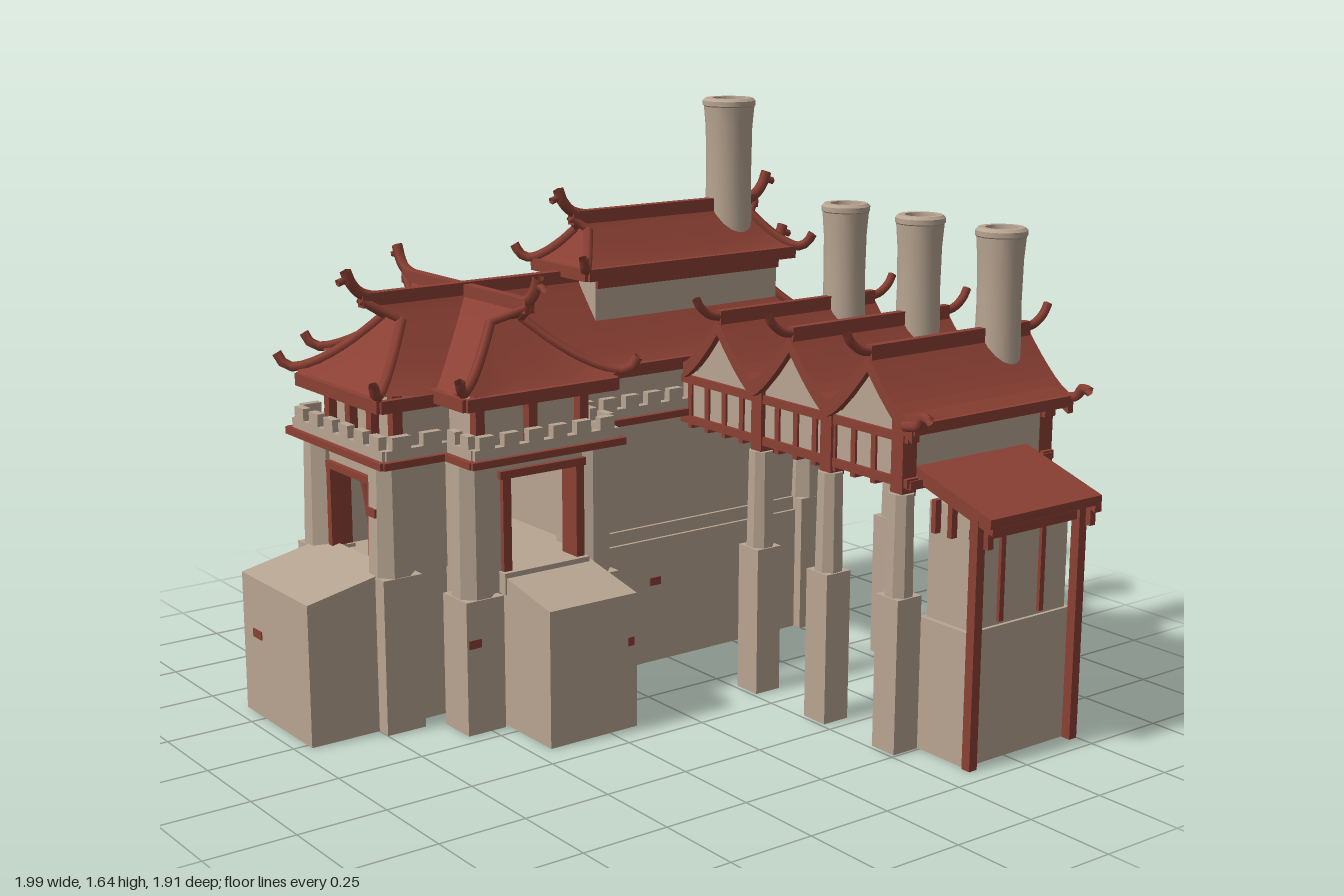
import * as THREE from 'three';
import { toCreasedNormals, mergeVertices } from 'three/addons/utils/BufferGeometryUtils.js';

const stone = new THREE.MeshStandardMaterial({ color: 0xb8a592, side: THREE.DoubleSide });
const red = new THREE.MeshStandardMaterial({ color: 0x8b4034, side: THREE.DoubleSide });
stone.name = 'stone';
red.name = 'red timber and tile';

const CX = -0.45; // axis of the hall and the roofs
const GX = -0.425; // axis of the gatehouse masonry

export function createModel() {
  const model = new THREE.Group();
  model.name = 'fortifiedHall';
  const V = (x, y, z) => new THREE.Vector3(x, y, z);
  const polygon = pts => new THREE.Shape(pts.map(p => new THREE.Vector2(...p)));

  const add = (name, geo, mat, parent = model) => {
    const m = new THREE.Mesh(geo, mat);
    m.name = name;
    parent.add(m);
    return m;
  };
  // masonry standing on the ground is hollow: drop the faces at y = 0
  const openBottom = geo => {
    const src = geo.index ? geo.toNonIndexed() : geo, p = src.attributes.position, pos = [];
    for (let i = 0; i < p.count; i += 3) {
      if (Math.max(p.getY(i), p.getY(i + 1), p.getY(i + 2)) < 1e-4) continue;
      for (let k = i; k < i + 3; k++) pos.push(p.getX(k), p.getY(k), p.getZ(k));
    }
    const g = new THREE.BufferGeometry();
    g.setAttribute('position', new THREE.Float32BufferAttribute(pos, 3));
    g.computeVertexNormals();
    return g;
  };
  // box given by its extents
  const box = (name, x0, x1, y0, y1, z0, z1, mat = stone, parent = model) => {
    const g = new THREE.BoxGeometry(x1 - x0, y1 - y0, z1 - z0).translate((x0 + x1) / 2, (y0 + y1) / 2, (z0 + z1) / 2);
    return add(name, y0 === 0 ? openBottom(g) : g, mat, parent);
  };
  const tube = (name, pts, r, parent = model) =>
    add(name, new THREE.TubeGeometry(new THREE.CatmullRomCurve3(pts), 12, r, 5), red, parent);

  // square footing with a tapered shaft
  const pillar = (x, z, w, yBase, yTop, r0, r1) => {
    box('pillarFooting', x - w / 2, x + w / 2, 0, yBase, z - w / 2, z + w / 2);
    const g = new THREE.CylinderGeometry(r1, r0, yTop - yBase, 8).rotateY(Math.PI / 8);
    add('pillarShaft', toCreasedNormals(g, 0.5), stone).position.set(x, (yBase + yTop) / 2, z);
  };

  // concave hipped roof whose ridge overhangs in a small gablet; ridge along local z
  const hipRoof = (name, W, L, y0, y1, inset, over, lift) => {
    const g = new THREE.Group();
    g.name = name;
    model.add(g);
    const tg = 0.8, rows = 10, n = 8, pos = [], idx = [];
    const halfW = t => Math.max(W * (1 - t), 0.004);
    const halfL = t => L - inset * Math.min(t / tg, 1) + over * Math.max(0, (t - tg) / (1 - tg));
    const point = (t, a, b) => { // a, b in -1..1 on the ring
      const c = Math.pow(Math.abs(a * b), 4) * Math.pow(1 - t, 3);
      const y = y0 + (y1 - y0) * Math.pow(t, 1.2) + lift * c;
      return V(a * halfW(t) * (1 + 0.05 * c), y, b * (halfL(t) + 0.01 * c));
    };
    const corners = [[-1, -1], [-1, 1], [1, 1], [1, -1]];
    for (let i = 0; i <= rows; i++)
      for (let s = 0; s < 4; s++)
        for (let k = 0; k < n; k++) {
          const [a0, b0] = corners[s], [a1, b1] = corners[(s + 1) % 4], f = k / n;
          pos.push(...point(i / rows, a0 + (a1 - a0) * f, b0 + (b1 - b0) * f).toArray());
        }
    const m = 4 * n;
    for (let i = 0; i < rows; i++)
      for (let k = 0; k < m; k++) {
        const a = i * m + k, b = i * m + (k + 1) % m;
        idx.push(a, b, b + m, a, b + m, a + m);
      }
    const geo = new THREE.BufferGeometry();
    geo.setAttribute('position', new THREE.Float32BufferAttribute(pos, 3));
    geo.setIndex(idx);
    add('roofTiles', toCreasedNormals(mergeVertices(geo), 0.6), red, g);
    // eave boards
    for (const s of [-1, 1]) {
      box('eaveBoard', s * W - 0.01, s * W + 0.01, y0 - 0.02, y0 + 0.015, -L, L, red, g);
      box('eaveBoard', -W, W, y0 - 0.02, y0 + 0.015, s * L - 0.01, s * L + 0.01, red, g);
    }
    // ridge with upturned finials
    const R = halfL(1);
    box('ridgeBeam', -0.015, 0.015, y1 - 0.02, y1 + 0.02, -R, R, red, g);
    for (const s of [-1, 1]) {
      tube('ridgeFinial', [V(0, y1, s * (R - 0.08)), V(0, y1 + 0.02, s * R), V(0, y1 + 0.05, s * (R + 0.03)), V(0, y1 + 0.085, s * (R + 0.045))], 0.017, g);
      tube('ridgeCrest', [V(0, y1 + 0.045, s * (R + 0.02)), V(0, y1 + 0.06, s * (R + 0.05)), V(0, y1 + 0.055, s * (R + 0.07))], 0.011, g);
      for (const a of [-1, 1]) {
        // hip beam with flared tip, and gablet edge above it
        const c = point(0, a, s);
        tube('hipBeam', [point(tg, a, s), point(0.5, a, s), point(0.2, a, s), c,
          V(c.x + a * 0.02, c.y + 0.012, c.z + s * 0.02), V(c.x + a * 0.032, c.y + 0.04, c.z + s * 0.032)], 0.015, g);
        tube('gabletEdge', [point(tg, a, s), point(0.9, a, s), point(1, a, s)], 0.012, g);
      }
    }
    return g;
  };

  // battlement run on a straight wall: red string course and merlons
  const battlement = (x0, x1, z0, z1) => {
    box('stringCourse', x0 - 0.015, x1 + 0.015, 0.752, 0.772, z0 - 0.015, z1 + 0.015, red);
    box('parapet', x0, x1, 0.772, 0.8, z0, z1);
    const alongX = x1 - x0 > z1 - z0, len = alongX ? x1 - x0 : z1 - z0;
    const count = Math.max(2, Math.round(len / 0.08));
    for (let i = 0; i < count; i++) {
      const p = (alongX ? x0 : z0) + (len * (i + 0.5)) / count, h = len / count * 0.3;
      if (alongX) box('merlon', p - h, p + h, 0.8, 0.835, z0, z1);
      else box('merlon', x0, x1, 0.8, 0.835, p - h, p + h);
    }
  };

  // ---- Hall ----
  box('hallBase', CX - 0.215, CX + 0.215, 0, 0.38, -0.83, 0.12);
  box('hallLip', CX - 0.205, CX + 0.205, 0.38, 0.42, -0.82, 0.12);
  box('hallWall', CX - 0.195, CX + 0.195, 0.42, 0.78, -0.81, 0.1);
  box('hallAttic', CX - 0.18, CX + 0.18, 0.77, 0.95, -0.79, 0.1);
  for (const s of [-1, 1]) {
    pillar(CX + s * 0.19, -0.8, 0.11, 0.42, 0.76, 0.058, 0.045);
    const x = CX + s * 0.23;
    battlement(x - 0.012, x + 0.012, -0.85, 0.1);
  }
  battlement(CX - 0.23, CX + 0.23, -0.86, -0.836);

  // ---- Gatehouse ----
  box('gateBaseCross', GX - 0.35, GX + 0.35, 0, 0.43, 0.11, 0.52);
  box('gateBaseFront', GX - 0.19, GX + 0.19, 0, 0.43, 0.5, 0.7);
  for (const s of [-1, 1]) {
    // side wall with its opening
    const xo = GX + s * 0.33, x0 = xo - 0.02, x1 = xo + 0.02;
    box('sideJamb', x0, x1, 0.43, 0.77, 0.1, 0.19);
    box('sideJamb', x0, x1, 0.43, 0.77, 0.43, 0.53);
    box('sideLintel', x0, x1, 0.71, 0.77, 0.19, 0.43);
    for (const z of [0.19, 0.43]) box('windowPost', x0 - 0.015, x1 + 0.015, 0.43, 0.72, z - 0.013, z + 0.013, red);
    box('windowHead', x0 - 0.015, x1 + 0.015, 0.7, 0.722, 0.17, 0.45, red);
    box('windowSill', x0 - 0.03, x1 + 0.03, 0.38, 0.44, 0.17, 0.45);
    // return walls
    const [a, b] = s < 0 ? [GX - 0.34, GX - 0.17] : [GX + 0.17, GX + 0.34];
    box('returnWall', a, b, 0.43, 0.77, 0.49, 0.52);
    box('rearWall', a, b, 0.43, 0.77, 0.11, 0.14);
    const f = GX + s * 0.18;
    box('frontArmWall', f - 0.015, f + 0.015, 0.43, 0.77, 0.5, 0.69);
    const j = GX + s * 0.155;
    box('frontJamb', j - 0.035, j + 0.035, 0.43, 0.77, 0.66, 0.7);
    const p = GX + s * 0.115;
    box('doorPost', p - 0.011, p + 0.011, 0.45, 0.69, 0.65, 0.715, red);
    // corner pillars
    pillar(GX + s * 0.32, 0.515, 0.12, 0.38, 0.77, 0.06, 0.055);
    pillar(GX + s * 0.32, 0.13, 0.12, 0.38, 0.77, 0.06, 0.055);
    pillar(GX + s * 0.185, 0.69, 0.12, 0.44, 0.77, 0.062, 0.055);
    // battlements
    const e = GX + s * 0.385;
    battlement(e - 0.012, e + 0.012, 0.08, 0.55);
    battlement(Math.min(e, GX + s * 0.25), Math.max(e, GX + s * 0.25), 0.53, 0.554);
    battlement(Math.min(e, GX + s * 0.22), Math.max(e, GX + s * 0.22), 0.076, 0.1);
    battlement(GX + s * 0.25 - 0.012, GX + s * 0.25 + 0.012, 0.55, 0.74);
  }
  battlement(GX - 0.255, GX + 0.255, 0.725, 0.749);
  box('frontLintel', GX - 0.12, GX + 0.12, 0.69, 0.77, 0.66, 0.7);
  box('doorHead', GX - 0.13, GX + 0.13, 0.675, 0.695, 0.65, 0.715, red);
  tube('leaningBrace', [V(-0.47, 0.68, 0.65), V(-0.39, 0.46, 0.65)], 0.01);
  box('ceilingCross', GX - 0.38, GX + 0.38, 0.75, 0.775, 0.09, 0.54);
  box('ceilingFront', GX - 0.24, GX + 0.24, 0.75, 0.775, 0.54, 0.73);
  box('atticCross', CX - 0.31, CX + 0.31, 0.77, 0.95, 0.14, 0.48);
  box('atticFront', CX - 0.18, CX + 0.18, 0.77, 0.95, 0.4, 0.64);
  for (const s of [-1, 1]) {
    for (const z of [0.14, 0.31, 0.48]) box('atticPost', CX + s * 0.325 - 0.015, CX + s * 0.325 + 0.015, 0.77, 0.93, z - 0.014, z + 0.014, red);
    for (const d of [0.06, 0.18]) box('atticPost', CX + s * d - 0.014, CX + s * d + 0.014, 0.77, 0.93, 0.635, 0.665, red);
  }

  // sloped-top buttress blocks, pushed out from the gatehouse
  const buttress = (r0, r1, yIn, yOut, width, angle) => {
    const g = new THREE.ExtrudeGeometry(polygon([[r0, 0], [r1, 0], [r1, yOut], [r0, yIn]]), { depth: width, bevelEnabled: false });
    add('buttress', openBottom(g.translate(0, 0, -width / 2).rotateY(angle)), stone).position.set(GX + 0.007, 0, 0.302);
  };
  buttress(0.3, 0.58, 0.44, 0.385, 0.285, 0);
  buttress(0.3, 0.58, 0.44, 0.385, 0.285, Math.PI);
  buttress(0.39, 0.655, 0.455, 0.4, 0.385, -Math.PI / 2);

  // ---- Roofs ----
  hipRoof('hallRoof', 0.232, 0.81, 0.91, 1.155, 0.18, 0.1, 0.03).position.set(CX, 0, -0.085);
  const cross = hipRoof('crossRoof', 0.245, 0.39, 0.92, 1.15, 0.18, 0.12, 0.035);
  cross.position.set(CX, 0, 0.31);
  cross.rotation.y = Math.PI / 2;
  box('upperTierWall', CX - 0.1, CX + 0.1, 1, 1.2, -0.75, -0.07);
  for (const s of [-1, 1]) box('upperTierSill', CX + s * 0.105 - 0.008, CX + s * 0.105 + 0.008, 1.13, 1.155, -0.75, -0.07, red);
  hipRoof('upperTierRoof', 0.14, 0.385, 1.18, 1.325, 0.08, 0.04, 0.015).position.set(CX, 0, -0.4);

  // ---- Chimneys ----
  const chimney = (x, z, y0, y1, r) => {
    const p = [[1, y0], [0.94, (y0 + y1) / 2], [0.97, y1 - 0.09], [1.05, y1 - 0.025], [1.1, y1 - 0.022], [1.1, y1 - 0.008], [0.98, y1], [0.7, y1], [0.66, y1 - 0.04], [0, y1 - 0.04]];
    const g = new THREE.LatheGeometry(p.map(([k, y]) => new THREE.Vector2(k * r, y)), 18);
    add('chimney', toCreasedNormals(g, 0.6), stone).position.set(x, 0, z);
  };
  chimney(CX, -0.64, 1.18, 1.645, 0.073);

  // ---- East wing: three gables on pillars ----
  const gables = [-0.03, 0.285, 0.6], H = 0.157, zF = -0.27, zB = -0.86;
  const slope = s => 0.915 + 0.15 * Math.pow(1 - Math.abs(s), 1.3);
  const top = [];
  for (const gx of gables) for (let i = -6; i < 6; i++) top.push([gx + (i / 6) * H, slope(i / 6)]);
  top.push([0.775, 0.905]);
  const band = th => polygon([...top, ...top.slice().reverse().map(([x, y]) => [x, y - th])]);
  const extrude = (shape, depth, z) => new THREE.ExtrudeGeometry(shape, { depth, bevelEnabled: false }).translate(0, 0, z);
  add('wingRoof', extrude(band(0.02), zF - zB, zB), red);
  for (const z of [zF - 0.015, zB - 0.005]) add('bargeboard', extrude(band(0.045), 0.02, z), red);
  for (const gx of gables) {
    box('wingRidge', gx - 0.012, gx + 0.012, 1.045, 1.09, zB, zF, red);
    for (const [z, s] of [[zF, 1], [zB, -1]])
      tube('wingRidgeTip', [V(gx, 1.07, z - s * 0.03), V(gx, 1.08, z + s * 0.03), V(gx, 1.105, z + s * 0.065), V(gx, 1.13, z + s * 0.08)], 0.013);
    chimney(gx, -0.745, 0.96, 1.36, 0.065);
  }
  for (const [z, s] of [[-0.31, 1], [-0.82, -1]]) {
    box('wingFrieze', -0.23, 0.72, 0.745, 0.88, z - 0.01, z + 0.01);
    for (const gx of gables)
      add('gablePanel', extrude(polygon([[gx - 0.15, 0.87], [gx + 0.15, 0.87], [gx + 0.08, 0.94], [gx, 1.035], [gx - 0.08, 0.94]]), 0.02, z - 0.01), stone);
    for (const y of [0.86, 0.74]) box('wingBeam', -0.23, 0.735, y - 0.012, y + 0.012, z - 0.02, z + 0.02, red);
    for (let i = 0; i < 12; i++) {
      const x = -0.19 + i * 0.079;
      box('wingStud', x - 0.009, x + 0.009, 0.715, 0.86, z - 0.017, z + 0.017, red);
    }
    for (const x of [0.125, 0.42, 0.7]) {
      pillar(x, z + s * 0.005, 0.085, 0.43, 0.71, 0.04, 0.036);
      box('wingPost', x - 0.022, x + 0.022, 0.7, 0.92, z - 0.025, z + 0.025, red);
    }
    const e = z + s * 0.042;
    tube('eaveTip', [V(0.74, 0.9, e), V(0.79, 0.91, e), V(0.81, 0.935, e), V(0.835, 0.93, e)], 0.014);
  }
  box('wingEndPanel', 0.7, 0.72, 0.745, 0.9, -0.82, -0.31);
  for (const y of [0.89, 0.735]) box('wingEndBeam', 0.7, 0.74, y - 0.012, y + 0.012, -0.83, -0.3, red);
  box('wingEaveBoard', 0.76, 0.78, 0.88, 0.91, zB, zF, red);

  // ---- Lean-to at the east end ----
  box('leanToBase', 0.735, 0.915, 0, 0.37, -0.735, -0.35);
  box('leanToWall', 0.745, 0.905, 0.37, 0.69, -0.72, -0.365);
  const leanRoof = th => polygon([[0.72, 0.78], [0.995, 0.695], [0.995, 0.695 - th], [0.72, 0.78 - th]]);
  add('leanToRoof', extrude(leanRoof(0.025), 0.41, -0.745), red);
  for (const z of [-0.735, -0.355]) {
    add('leanToBargeboard', extrude(leanRoof(0.045), 0.024, z - 0.012), red);
    box('leanToPost', 0.917, 0.945, 0, 0.69, z - 0.014, z + 0.014, red);
    for (const x of [0.78, 0.84, 0.97]) box('leanToStud', x - 0.008, x + 0.008, 0.61, 0.7, z - 0.01, z + 0.01, red);
  }
  for (const z of [-0.47, -0.62]) box('leanToMullion', 0.9, 0.915, 0.38, 0.64, z - 0.008, z + 0.008, red);
  box('leanToCrossbeam', 0.9, 0.935, 0.62, 0.645, -0.735, -0.355, red);

  // ---- Exposed brick patches ----
  for (const [x, y, z, w, d] of [[-0.525, 0.24, 0.957, 0.05, 0.006], [-0.24, 0.62, 0.749, 0.05, 0.006], [0.162, 0.25, 0.18, 0.006, 0.02],
    [-0.045, 0.26, 0.55, 0.006, 0.04], [-0.665, 0.22, -0.3, 0.006, 0.04], [-0.665, 0.2, -0.55, 0.006, 0.04], [-0.235, 0.25, -0.2, 0.006, 0.04]])
    box('brickPatch', x - w / 2, x + w / 2, y - 0.012, y + 0.012, z - d / 2, z + d / 2, red);

  return model;
}
